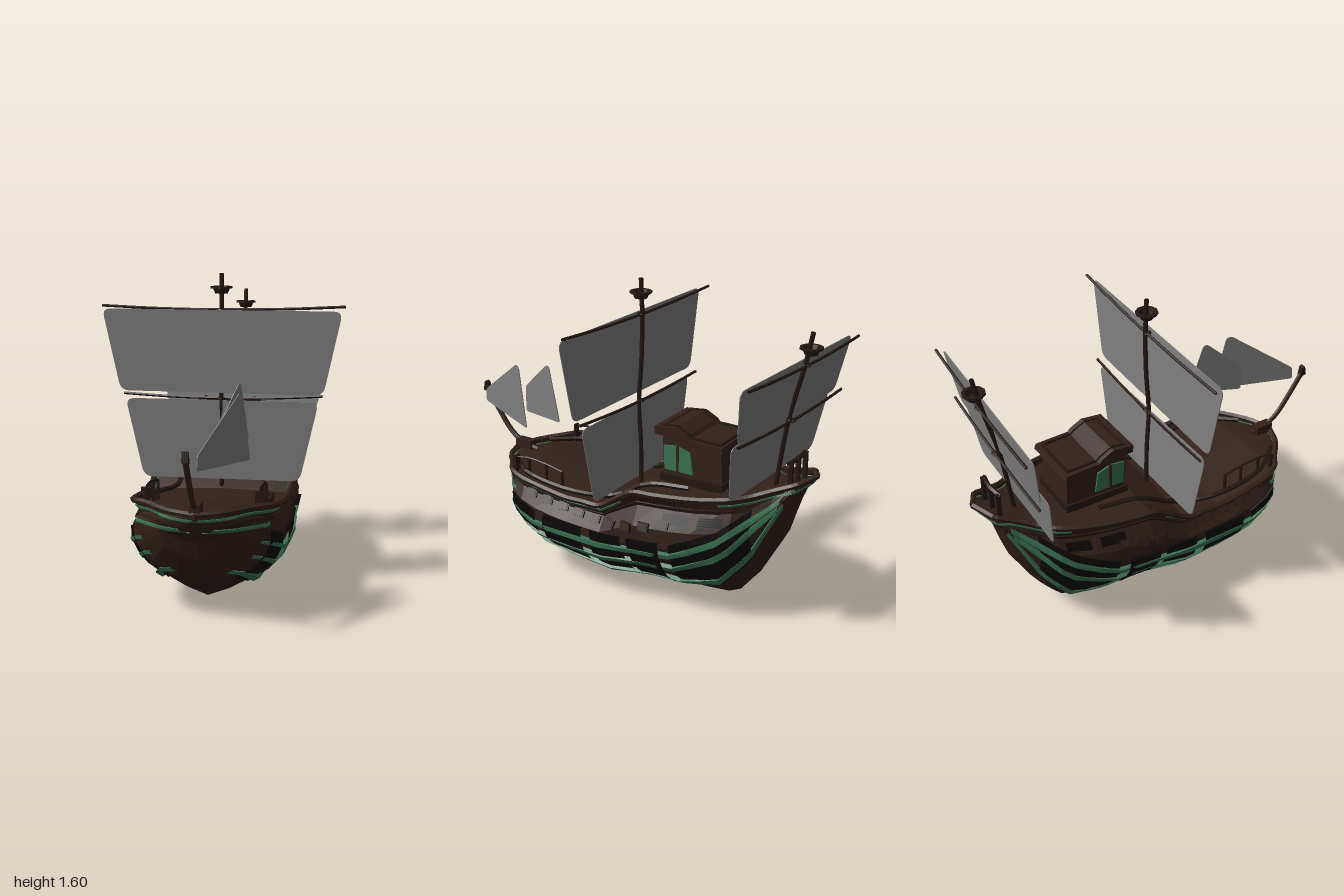
import * as THREE from 'three';

const mat = (color) => new THREE.MeshStandardMaterial({ color, flatShading: true, side: THREE.DoubleSide, roughness: 0.9 });
const wood = mat(0x33211a), dark = mat(0x241812), black = mat(0x0c0908), green = mat(0x3d7355), cloth = mat(0x808080);
const V = (x, y, z) => new THREE.Vector3(x, y, z);
const { clamp, lerp } = THREE.MathUtils;

// Piecewise-linear lookup in a list of [key, value], keys descending
function at(list, k) {
  if (k >= list[0][0]) return list[0][1];
  for (let i = 1; i < list.length; i++) {
    const [a, va] = list[i - 1], [b, vb] = list[i];
    if (k >= b) return vb + (va - vb) * (k - b) / (a - b);
  }
  return list[list.length - 1][1];
}

// Hull lines by z: keel height, sheer height, half-beam; and the section shape by relative height
const KEEL = [[.78, .53], [.735, .46], [.69, .4], [.66, .31], [.58, .17], [.41, .06], [0, .005], [-.4, .03], [-.62, .065], [-.73, .2], [-.84, .4], [-.91, .65], [-1, .76]];
const SHEER = [[.78, .55], [.6, .565], [.4, .535], [.2, .51], [0, .515], [-.12, .59], [-.2, .635], [-.55, .65], [-.75, .68], [-.9, .735], [-1, .775]];
const BEAM = [[.78, 0], [.74, .11], [.69, .18], [.64, .235], [.58, .315], [.5, .35], [.35, .365], [-.35, .365], [-.55, .335], [-.68, .28], [-.76, .215], [-.84, .165], [-.94, .12], [-1, 0]];
const SECTION = [[1, 1], [.92, .91], [.87, .87], [.72, 1], [.57, 1], [.45, .92], [.25, .66], [.08, .23], [0, 0]];
const STATIONS = [.78, .76, .735, .71, .69, .66, .62, .58, .5, .41, .3, .2, .1, 0, -.12, -.2, -.3, -.4, -.5, -.62, -.68, -.73, -.76, -.8, -.84, -.88, -.91, -.94, -.97, -1];

// Half width of the hull: rounder bilges to both ends, sides drawn in at the top aft
function halfWidth(z, s) {
  const round = 1 - .5 * clamp((Math.abs(z) - .3) / .4, 0, 1);
  const drawIn = 1 - .08 * clamp((-z - .2) / .3, 0, 1) * clamp((s - .6) / .3, 0, 1);
  return at(BEAM, z) * Math.pow(at(SECTION, s), round) * drawIn;
}

// Point of the left side of the hull at z and height y, pushed out along its normal
function hullPoint(z, y, off = 0) {
  const p = (zz, yy) => {
    const k = at(KEEL, zz);
    return V(halfWidth(zz, clamp((yy - k) / (at(SHEER, zz) - k), 0, 1)), yy, zz);
  };
  const h = Math.max(y, at(KEEL, z)), e = .012;
  const n = p(z, h + e).sub(p(z, h - e)).cross(p(z + e, h).sub(p(z - e, h))).normalize();
  return p(z, h).addScaledVector(n, n.x < 0 ? -off : off);
}

// Surface through rows of points
function grid(rows) {
  const n = rows[0].length, idx = [];
  for (let i = 0; i < rows.length - 1; i++) for (let j = 0; j < n - 1; j++) {
    const a = i * n + j, b = a + n;
    idx.push(a, b, a + 1, b, b + 1, a + 1);
  }
  const g = new THREE.BufferGeometry().setFromPoints(rows.flat());
  g.setIndex(idx);
  g.computeVertexNormals();
  return g;
}

// Raised strip laid on the hull between two heights; low, high and thickness are functions of z
function strip(z0, z1, low, high, off) {
  const zs = [z0, ...STATIONS.filter((z) => z < z0 - .01 && z > z1 + .01), z1];
  return grid(zs.map((z) => {
    const a = low(z), b = high(z), row = [hullPoint(z, a, -.01)];
    for (let j = 0; j <= 4; j++) row.push(hullPoint(z, lerp(a, b, j / 4), off(z)));
    row.push(hullPoint(z, b, -.01));
    return row;
  }));
}

const tube = (pts, r, sides = 6) =>
  new THREE.TubeGeometry(new THREE.CatmullRomCurve3(pts), pts.length * 3, r, sides, false);

// Side profile of [z, y] points extruded across x
function profile(pts, width) {
  const g = new THREE.ExtrudeGeometry(new THREE.Shape(pts.map((p) => new THREE.Vector2(...p))), { depth: width, bevelEnabled: false });
  return g.rotateY(-Math.PI / 2).translate(width / 2, 0, 0);
}

// Thin sheet with rounded corners
function sheet(pts, r) {
  const s = new THREE.Shape(), v = pts.map((p) => new THREE.Vector2(...p));
  v.forEach((c, i) => {
    const prev = v[(i + v.length - 1) % v.length], next = v[(i + 1) % v.length];
    const a = c.clone().add(prev.clone().sub(c).setLength(r)), b = c.clone().add(next.clone().sub(c).setLength(r));
    i ? s.lineTo(a.x, a.y) : s.moveTo(a.x, a.y);
    s.quadraticCurveTo(c.x, c.y, b.x, b.y);
  });
  return new THREE.ExtrudeGeometry(s, { depth: .004, bevelEnabled: false, curveSegments: 5 });
}

export function createModel() {
  const ship = new THREE.Group();
  ship.name = 'sailingShip';
  const add = (name, geo, m = wood) => {
    const mesh = new THREE.Mesh(geo, m);
    mesh.name = name;
    ship.add(mesh);
    return mesh;
  };
  const both = (name, geo, m) => {
    add(name + 'Left', geo, m);
    add(name + 'Right', geo, m).scale.x = -1;
  };
  const box = (name, w, h, d, x, y, z, m) => add(name, new THREE.BoxGeometry(w, h, d).translate(x, y, z), m);

  // Hull shell and deck
  add('hull', grid(STATIONS.map((z) => {
    const half = SECTION.map(([s]) => V(halfWidth(z, s), lerp(at(KEEL, z), at(SHEER, z), s), z));
    return [...half, ...half.slice(0, -1).reverse().map((p) => V(-p.x, p.y, z))];
  })));
  add('deck', grid(STATIONS.slice(1, -1).map((z) => {
    const x = halfWidth(z, 1) * .95, y = at(SHEER, z) - .025;
    return [V(-x, y, z), V(0, y + .012, z), V(x, y, z)];
  })));

  // Gunwale, its trim, and the low inner coaming
  both('gunwale', tube(STATIONS.map((z) => V(halfWidth(z, 1) * .99, at(SHEER, z) + .002, z)), .015, 5), wood);
  const sheer = (d) => (z) => at(SHEER, z) - d;
  const flat = (d) => () => d;
  both('sheerTrim', strip(.775, -.12, sheer(.034), sheer(.022), flat(.004)), green);
  both('sternTrim', strip(-.62, -.98, sheer(.034), sheer(.024), flat(.004)), green);
  both('bowTrim', strip(.735, .55, flat(.462), flat(.477), flat(.006)), green);
  both('rubbingStrake', strip(.72, -.9, sheer(.072), sheer(.055), flat(.006)), dark);
  both('coaming', tube([V(.15, .555, .68), V(.28, .55, .5), V(.29, .52, .2), V(.22, .52, 0), V(.22, .63, -.2), V(.2, .65, -.42)], .013, 5), dark);

  // Black side panels and the green wales crossing them
  const upper = [[.6, .385], [.4, .315], [0, .3], [-.4, .335], [-.6, .415], [-.78, .56], [-.88, .66]];
  const middle = [[.62, .32], [.4, .24], [0, .22], [-.4, .25], [-.65, .36], [-.87, .62]];
  const lower = [[.6, .235], [.4, .155], [0, .122], [-.4, .145], [-.62, .205], [-.75, .35], [-.89, .64]];
  const along = (list, d) => (z) => at(list, z) + d;
  for (const [a, b, off] of [[.57, .4, .008], [.34, .1, .02], [.05, -.13, .014], [-.17, -.35, .022], [-.4, -.76, .01]])
    both('sidePanel', strip(a, b, along(lower, -.01), along(upper, .07), flat(off)), black);
  const waleHeight = [[.6, .014], [.2, .022], [-.4, .024], [-.75, .04], [-.9, .02]];
  const waleDepth = (z) => at([[.6, .003], [.5, .013], [.34, .023], [-.35, .023], [-.5, .014], [-.89, .008]], z);
  for (const [list, end] of [[upper, -.88], [middle, -.87], [lower, -.89]])
    both('wale', strip(.6, end, along(list, 0), (z) => at(list, z) + at(waleHeight, z), waleDepth), green);
  for (const [a, b] of [[-.35, -.48], [-.53, -.65]])
    both('sternWindow', strip(a, b, sheer(.14), sheer(.095), flat(.008)), black);

  // Gun ports
  const ports = [[.45, .47], [.2, .435], [0, .422], [-.1, .433], [-.25, .465], [-.4, .505]];
  for (let i = 0; i < 9; i++) for (const s of [1, -1]) {
    const z = .44 - i * .1, y = at(ports, z), p = hullPoint(z, y), q = hullPoint(z, y, .1);
    for (const [size, d, m] of [[.044, .022, dark], [.034, .028, wood]]) {
      const port = add('gunPort', new THREE.BoxGeometry(size * 1.35, size, d), m);
      port.position.set(p.x * s, p.y, p.z);
      port.lookAt(q.x * s, q.y, q.z);
    }
  }

  // Cabin with sloped roof, windows, door and roof coaming
  add('cabinBody', profile([[-.235, .58], [-.225, .88], [-.55, .86], [-.565, .6]], .25));
  add('cabinRoof', profile([[-.2, .878], [-.195, .915], [-.31, .928], [-.375, .895], [-.39, .878], [-.57, .874], [-.58, .85], [-.39, .85], [-.37, .87]], .32));
  add('cabinSill', profile([[-.22, .63], [-.22, .665], [-.57, .675], [-.57, .63]], .28), dark);
  both('cabinWindow', profile([[-.24, .69], [-.235, .815], [-.31, .825], [-.385, .8], [-.4, .69]], .01).translate(.128, 0, 0), green);
  both('windowPost', new THREE.BoxGeometry(.014, .14, .014).translate(.13, .755, -.315), wood);
  box('cabinDoor', .08, .17, .01, 0, .74, -.228, dark);
  for (const x of [-.085, .085]) box('frontWindow', .05, .08, .01, x, .77, -.228, green);
  both('roofCoaming', profile([[-.23, .9], [-.23, .922], [-.31, .936], [-.38, .902], [-.395, .887], [-.55, .884], [-.55, .86]], .012).translate(.13, 0, 0), dark);
  for (const [z, y] of [[-.55, .874], [-.24, .914]]) box('roofCoamingEnd', .26, .02, .012, 0, y, z, dark);

  // Bow rails
  const rail = [[.58, .62], [.5, .63], [.39, .62], [.29, .6]].map(([z, y]) => V(.27, y, z));
  both('bowRail', tube(rail, .006, 5), dark);
  rail.forEach((p) => both('bowRailPost', new THREE.BoxGeometry(.014, p.y - .5, .01).translate(p.x, (p.y + .5) / 2, p.z), dark));
  both('bowBitt', new THREE.BoxGeometry(.034, .08, .012).translate(.27, .59, .58), dark);

  // Stern rail
  for (const x of [-.08, 0, .08]) box('sternPost', .016, .14, .022, x, .785, -.9, dark);
  add('sternRail', tube([V(-.09, .845, -.89), V(0, .852, -.905), V(.09, .845, -.89)], .012, 5), dark);

  // Bowsprit
  add('bowsprit', tube([V(0, .56, .66), V(0, .585, .76), V(0, .635, .83), V(0, .74, .91), V(0, .85, .985)], .014));
  box('bowspritFoot', .05, .05, .1, 0, .575, .73);
  add('bowspritTip', profile([[1, .84], [.965, .83], [.975, .885], [.99, .89]], .03), dark);

  // Masts with lookout baskets
  const mast = (pts, nest) => {
    add('mast', tube(pts, .0115, 7), dark);
    const b = add('lookout', new THREE.LatheGeometry([[0, -.02], [.032, -.02], [.042, .004], [.056, .006], [.056, .016], [.04, .016], [.03, -.012], [0, -.012]].map((p) => new THREE.Vector2(...p)), 10), dark);
    b.position.copy(nest);
  };
  mast([V(0, .49, -.022), V(0, .75, -.018), V(0, .95, -.006), V(0, 1.2, -.022), V(0, 1.43, -.025), V(0, 1.6, -.018)], V(0, 1.52, -.018));
  mast([V(0, .66, -.785), V(0, .85, -.81), V(0, 1.04, -.84), V(0, 1.3, -.905), V(0, 1.47, -.94)], V(0, 1.385, -.935));

  // Yards: half length, height, z at the mast, rise of z along x
  for (const [h, y, z, k] of [[.625, 1.418, -.02, .045], [.515, .968, -.022, .035], [.53, 1.31, -.92, .055], [.5, 1.03, -.86, .055]]) {
    add('yard', tube([-1, -.6, -.25, .25, .6, 1].map((t) => V(h * t, y + .018 * t * t + .005 * t, z + k * h * t)), .0075, 5), dark);
    add('yardCollar', new THREE.TorusGeometry(.016, .006, 5, 8).rotateX(Math.PI / 2).translate(0, y, z + .005), dark);
  }

  // Square sails: half widths, heights and z of head and foot, rise of z along x
  const sail = (head, foot, y1, y0, z1, z0, k) => {
    const len = Math.hypot(y1 - y0, z1 - z0);
    const m = add('squareSail', sheet([[-foot, 0], [foot, 0], [head, len], [-head, len]], .045), cloth);
    m.position.set(0, y0, z0);
    m.rotation.set(Math.atan2(z1 - z0, y1 - y0), -k, 0, 'YXZ');
  };
  sail(.613, .522, 1.42, 1.0, .02, .014, .032);
  sail(.497, .405, .96, .55, -.002, -.006, .006);
  sail(.535, .468, 1.325, 1.045, -.885, -.84, .055);
  sail(.485, .41, 1.035, .735, -.812, -.768, .04);

  // Jibs: outline in (z, y), turned so they swing out to the left towards the stern
  const jib = (pts, x, z, slope) => {
    const m = add('jib', sheet(pts.map(([pz, py]) => [(z - pz) * Math.hypot(1, slope), py]), .015), cloth);
    m.position.set(x, 0, z);
    m.rotation.y = Math.atan2(1, slope);
  };
  jib([[.95, .865], [.955, .795], [.545, .77], [.605, 1.085], [.63, 1.095]], .045, .95, .43);
  jib([[.64, .95], [.64, .81], [.355, .83], [.435, 1.11], [.455, 1.115]], .1, .62, .33);

  return ship;
}
